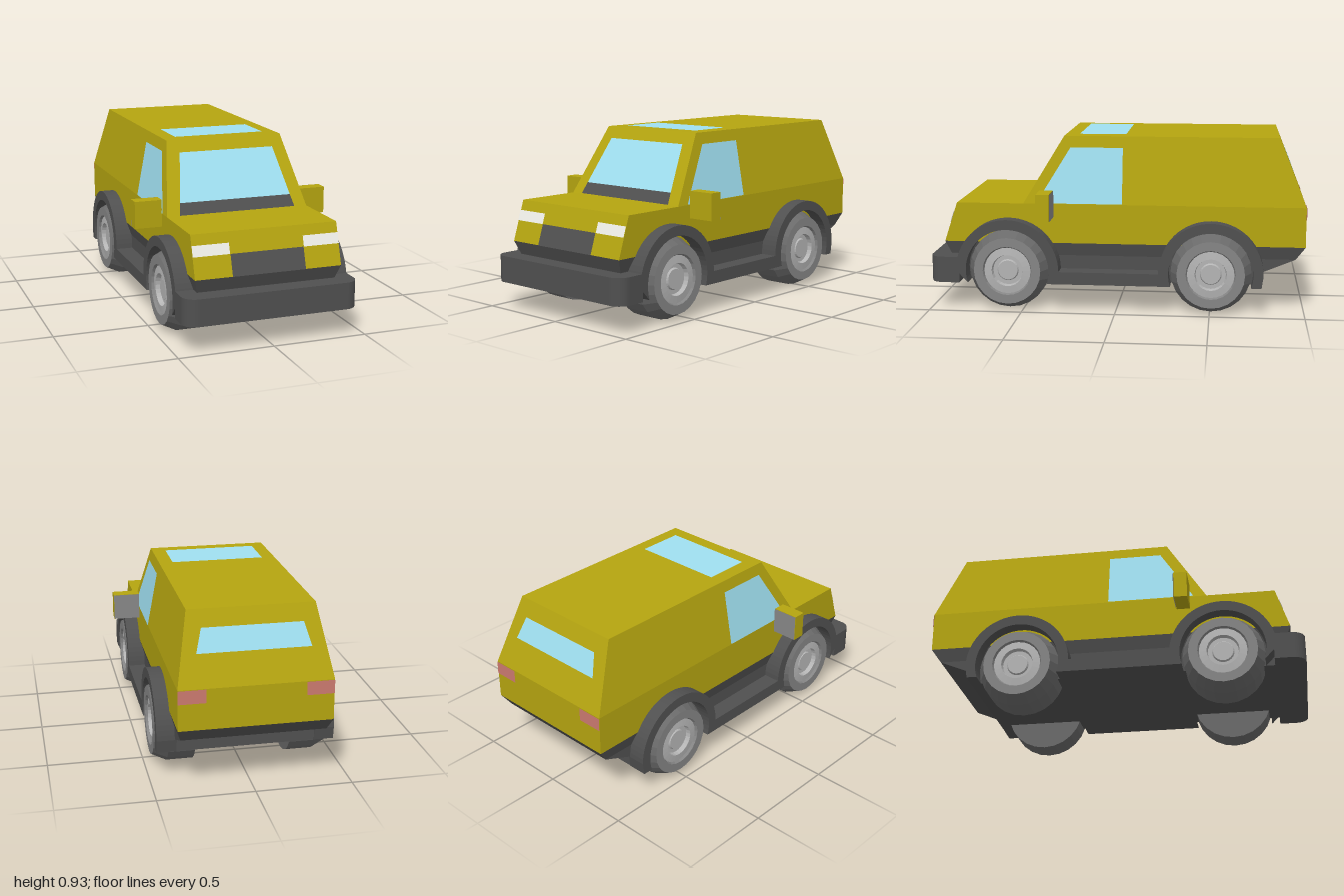
import * as THREE from 'three';

const paint = (color) => new THREE.MeshStandardMaterial({ color, flatShading: true, side: THREE.DoubleSide });
const YELLOW = paint(0xb5a510), GLASS = paint(0x9fdff0), DARK = paint(0x505050), TYRE = paint(0x6a6a6a);
const SIDEWALL = paint(0x858585), RIM = paint(0xb4b4b4), LAMP = paint(0xf0f0ea), TAIL = paint(0xcc7a70), MIRROR = paint(0x888888);

export function createModel() {
  const car = new THREE.Group();
  car.name = 'car';

  const add = (name, geometry, material, parent = car) => {
    const mesh = new THREE.Mesh(geometry, material);
    mesh.name = name;
    parent.add(mesh);
    return mesh;
  };

  // Stack of rectangles [y, halfWidth, zBack, zFront], joined and capped
  const loft = (levels) => {
    const rings = levels.map(([y, w, zb, zf]) => [[-w, y, zf], [w, y, zf], [w, y, zb], [-w, y, zb]]);
    const pos = [];
    const quad = (a, b, c, d) => pos.push(...a, ...b, ...c, ...a, ...c, ...d);
    for (let i = 0; i < rings.length - 1; i++) {
      for (let k = 0; k < 4; k++) {
        const n = (k + 1) % 4;
        quad(rings[i][k], rings[i][n], rings[i + 1][n], rings[i + 1][k]);
      }
    }
    const [bottom, top] = [rings[0], rings[rings.length - 1]];
    quad(...top);
    quad(bottom[3], bottom[2], bottom[1], bottom[0]);
    return fromPositions(pos);
  };

  const fromPositions = (pos) => {
    const g = new THREE.BufferGeometry();
    g.setAttribute('position', new THREE.Float32BufferAttribute(pos, 3));
    g.computeVertexNormals();
    return g;
  };

  // Flat four-cornered panel
  const panel = (name, [a, b, c, d], material) =>
    add(name, fromPositions([...a, ...b, ...c, ...a, ...c, ...d]), material);

  // Body shell
  add('lowerBody', loft([[0.36, 0.39, -1, 0.93], [0.572, 0.39, -1, 0.86]]), YELLOW);
  add('cabin', loft([[0.572, 0.39, -1, 0.5], [0.93, 0.322, -0.857, 0.285]]), YELLOW);
  add('underbody', loft([[0.15, 0.37, -0.77, 0.86], [0.215, 0.37, -0.77, 0.88], [0.29, 0.37, -0.95, 0.9], [0.36, 0.39, -1, 0.93]]), DARK);

  // Surface rules that keep the panels just proud of the body
  const gap = 0.003;
  const screenZ = (y) => 0.5 - (y - 0.572) * 0.6 + gap;
  const rearZ = (y) => -1 + (y - 0.572) * 0.4 - gap;
  const sideX = (y) => 0.39 - (y - 0.572) * 0.19 + gap;
  const noseZ = (y) => 0.93 - (y - 0.36) * 0.33 + gap;
  const across = (rule, y0, w0, y1, w1) =>
    [[-w0, y0, rule(y0)], [w0, y0, rule(y0)], [w1, y1, rule(y1)], [-w1, y1, rule(y1)]];

  panel('windscreen', across(screenZ, 0.633, 0.308, 0.87, 0.262), GLASS);
  panel('wiperPanel', across(screenZ, 0.575, 0.32, 0.633, 0.308), DARK);
  panel('rearWindow', across(rearZ, 0.73, 0.287, 0.845, 0.255).reverse(), GLASS);
  panel('grille', across(noseZ, 0.36, 0.195, 0.467, 0.195), DARK);
  panel('sunroof', across(() => 0, 0.933, 0.25, 0.933, 0.25).map(([x, y], i) => [x, y, i < 2 ? 0.21 : -0.04]), GLASS);

  // Bumper with rounded front corners
  const bumper = new THREE.Shape();
  bumper.moveTo(-0.463, -0.84);
  bumper.lineTo(-0.463, -0.93);
  bumper.absarc(-0.393, -0.93, 0.07, Math.PI, Math.PI * 1.5, false);
  bumper.absarc(0.393, -0.93, 0.07, -Math.PI / 2, 0, false);
  bumper.lineTo(0.463, -0.84);
  const bumperGeometry = new THREE.ExtrudeGeometry(bumper, { depth: 0.14, bevelEnabled: false, curveSegments: 6 });
  bumperGeometry.rotateX(-Math.PI / 2).translate(0, 0.148, 0);
  add('frontBumper', bumperGeometry, DARK);

  // Wheel arches and sill, outlined in z and y
  const axleY = 0.217, axles = [0.58, -0.505];
  const inner = 0.224, outer = 0.277, drop = Math.asin((axleY - 0.15) / inner);
  const flare = new THREE.Shape();
  flare.moveTo(0.857, 0.15);
  for (const z of axles) flare.absarc(z, axleY, inner, -drop, Math.PI + drop, false);
  flare.lineTo(-0.772, 0.15);
  for (const z of [...axles].reverse()) flare.absarc(z, axleY, outer, Math.PI, 0, true);
  const flareGeometry = new THREE.ExtrudeGeometry(flare, { depth: 0.103, bevelEnabled: false, curveSegments: 16 });
  flareGeometry.rotateY(-Math.PI / 2);

  // Wheel pieces: profiles of radius against distance from the car's middle
  const wheelParts = [
    ['tyre', TYRE, [[0, 0.25], [0.215, 0.25], [0.215, 0.39], [0.18, 0.463]]],
    ['sidewall', SIDEWALL, [[0.18, 0.463], [0.132, 0.463], [0.125, 0.45]]],
    ['rim', RIM, [[0.125, 0.45], [0.085, 0.455], [0.08, 0.43]]],
    ['hub', RIM, [[0.08, 0.43], [0.058, 0.43], [0.052, 0.44], [0, 0.44]]],
  ].map(([name, material, points]) => {
    const g = new THREE.LatheGeometry(points.map(([r, h]) => new THREE.Vector2(r, h)), 24);
    return [name, material, g.rotateZ(-Math.PI / 2)];
  });

  for (const [side, s] of [['left', 1], ['right', -1]]) {
    add(side + 'ArchesAndSill', flareGeometry, DARK).position.x = s > 0 ? 0.463 : -0.36;

    axles.forEach((z, i) => {
      const wheel = new THREE.Group();
      wheel.name = side + (i ? 'RearWheel' : 'FrontWheel');
      wheel.position.set(0, axleY, z);
      wheel.rotation.y = s > 0 ? 0 : Math.PI;
      for (const [name, material, geometry] of wheelParts) add(name, geometry, material, wheel);
      car.add(wheel);
    });

    // Window, lamps and mirror; corners turn round on the mirrored side
    const sided = (name, corners, material) => {
      const pts = corners.map(([x, y, z]) => [s * x, y, z]);
      panel(side + name, s > 0 ? pts : pts.reverse(), material);
    };
    sided('SideWindow', [[0.43, 0.575], [-0.03, 0.575], [-0.03, 0.87], [0.25, 0.87]].map(([z, y]) => [sideX(y), y, z]), GLASS);
    sided('Headlamp', [[0.197, 0.467], [0.39, 0.467], [0.39, 0.52], [0.197, 0.52]].map(([x, y]) => [x, y, noseZ(y)]), LAMP);
    sided('TailLamp', [[0.39, 0.5], [0.25, 0.5], [0.25, 0.57], [0.39, 0.57]].map(([x, y]) => [x, y, -1 - gap]), TAIL);

    add(side + 'MirrorHousing', new THREE.BoxGeometry(0.145, 0.143, 0.07), YELLOW).position.set(s * 0.4625, 0.573, 0.375);
    sided('MirrorGlass', [[0.535, 0.502], [0.39, 0.502], [0.39, 0.644], [0.535, 0.644]].map(([x, y]) => [x, y, 0.337]), MIRROR);
  }
  return car;
}
